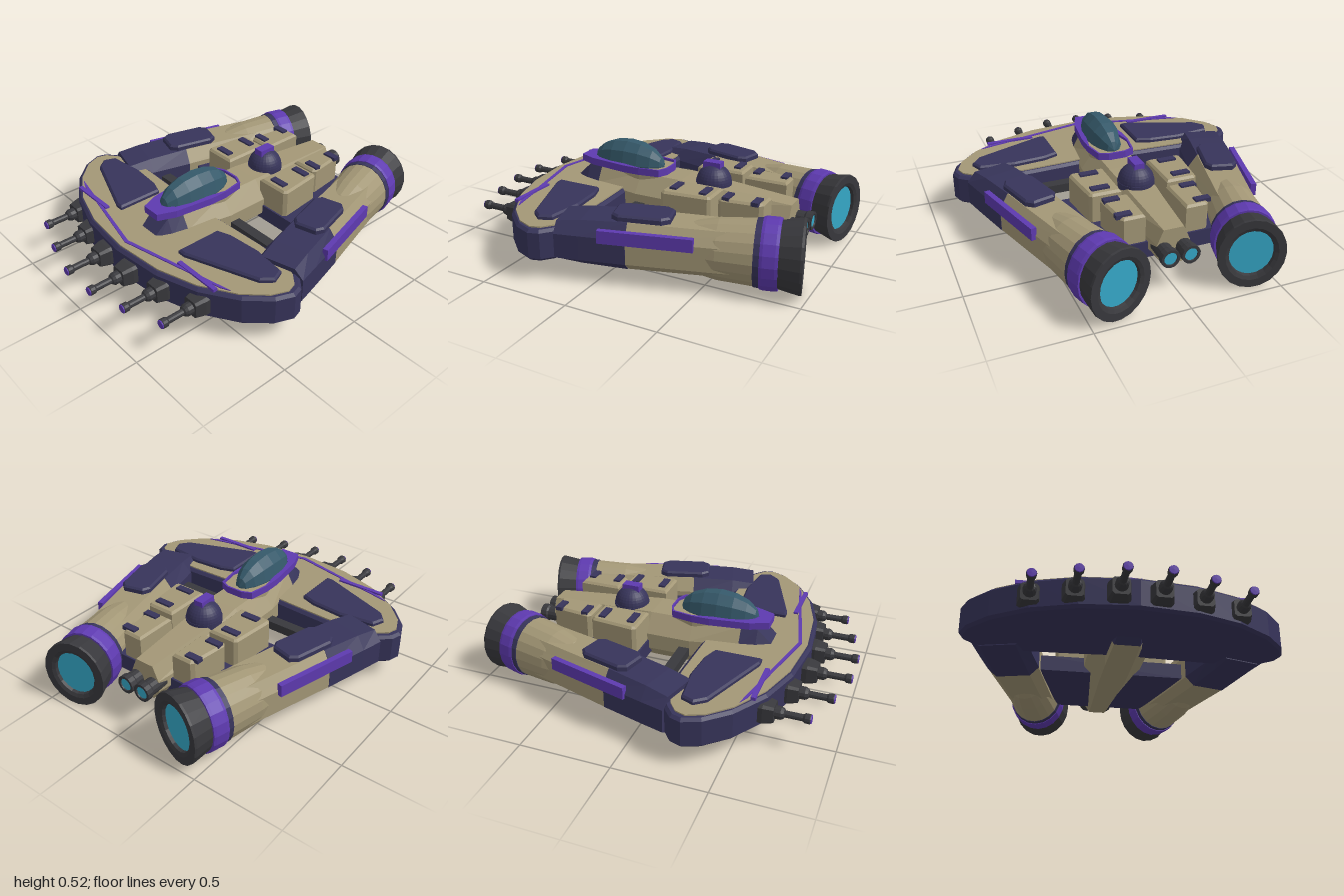
import * as THREE from 'three';

const mat = (name, color) => {
  const m = new THREE.MeshStandardMaterial({ color, flatShading: true });
  m.name = name;
  return m;
};

// Octagonal cross-section, counter-clockwise seen from +z
const oct = (w, lo, hi, topW, top, botW, bot) => [
  [w, lo], [w, hi], [topW, top], [-topW, top], [-w, hi], [-w, lo], [-botW, bot], [botW, bot]];

// Skin through cross-sections [z, ring], z increasing, with end caps
function loft(sections) {
  const n = sections[0][1].length, pos = [], idx = [];
  for (const [z, ring] of sections) for (const [x, y] of ring) pos.push(x, y, z);
  for (let i = 0; i < sections.length - 1; i++) {
    for (let j = 0; j < n; j++) {
      const a = i * n + j, b = i * n + (j + 1) % n;
      idx.push(a, b, a + n, b, b + n, a + n);
    }
  }
  const last = (sections.length - 1) * n;
  for (let j = 1; j < n - 1; j++) idx.push(0, j + 1, j, last, last + j, last + j + 1);
  const g = new THREE.BufferGeometry();
  g.setAttribute('position', new THREE.Float32BufferAttribute(pos, 3));
  g.setIndex(idx);
  const flat = g.toNonIndexed();
  flat.computeVertexNormals();
  return flat;
}

// Closed outline from its +x half
const mirror = (half) => [
  ...half, ...half.filter(([x]) => x > 0).reverse().map(([x, z]) => [-x, z])];

// Horizontal plate with outline points [x, z], between y0 and y1
function slab(pts, y0, y1, bevel = 0, hole = null) {
  const v = (list) => list.map(([x, z]) => new THREE.Vector2(x, -z));
  const shape = new THREE.Shape(v(pts));
  if (hole) shape.holes.push(new THREE.Path(v(hole)));
  const g = new THREE.ExtrudeGeometry(shape, {
    depth: y1 - y0 - 2 * bevel, bevelEnabled: bevel > 0, bevelSize: bevel,
    bevelThickness: bevel, bevelOffset: -bevel, bevelSegments: 1 });
  return g.rotateX(-Math.PI / 2).translate(0, y0 + bevel, 0);
}

// Turned part around z, profile points [radius, z] from rear to front
const turned = (profile, sides) => new THREE.LatheGeometry(
  profile.map(([r, z]) => new THREE.Vector2(r, z)), sides).rotateX(Math.PI / 2);

const box = (w, h, d) => new THREE.BoxGeometry(w, h, d);

export function createModel() {
  const tan = mat('tan hull', 0xa39776), navy = mat('navy armour', 0x37345a);
  const purple = mat('purple trim', 0x5e3ab0), glass = mat('teal glass', 0x35596a);
  const metal = mat('dark metal', 0x38383c), glow = mat('cyan glow', 0x35a8c8);
  const root = new THREE.Group();
  root.name = 'spacecraft';
  const add = (parent, name, geo, material, x = 0, y = 0, z = 0) => {
    const m = new THREE.Mesh(geo, material);
    m.name = name;
    m.position.set(x, y, z);
    parent.add(m);
    return m;
  };

  // Crescent front wing with its inset deck
  const wing = mirror([[0, .75], [.3, .72], [.53, .645], [.72, .525], [.83, .405], [.868, .31],
    [.85, .25], [.79, .2], [.7, .165], [.5, .155], [.25, .165], [0, .18]]);
  add(root, 'wing', slab(wing, .11, .28, .015), navy);
  add(root, 'wingDeck', slab(wing.map(([x, z]) => [x * .96, (z - .45) * .92 + .45]), .27, .287), tan);
  add(root, 'wingTrim', slab([[-.65, .535], [-.32, .605], [0, .675], [.32, .605], [.65, .535],
    [.6, .56], [.32, .622], [0, .695], [-.32, .622], [-.6, .56]], .284, .292), purple);

  // Fuselage spine and nose
  const waist = oct(.125, .2, .28, .075, .37, .07, .09);
  add(root, 'fuselage', loft([
    [-.78, oct(.09, .19, .25, .055, .33, .05, .13)],
    [-.15, oct(.165, .18, .27, .09, .37, .075, .09)],
    [.1, oct(.165, .18, .27, .09, .37, .075, .09)],
    [.37, waist]]), tan);
  add(root, 'nose', loft([[.37, waist], [.46, oct(.11, .2, .27, .065, .36, .06, .12)],
    [.54, oct(.085, .2, .25, .06, .285, .05, .13)]]), navy);

  // Cockpit
  const collar = mirror([[.055, .52], [.095, .42], [.125, .2], [.125, .1], [.105, -.02], [.05, -.045]]);
  const sill = mirror([[0, .45], [.06, .4], [.095, .2], [.115, .1], [.096, -.012], [.046, -.035]]);
  add(root, 'cockpitCollar', slab(collar, .37, .41, 0, sill), purple);
  add(root, 'cockpitSill', slab(sill, .34, .395), tan);
  add(root, 'canopy', new THREE.SphereGeometry(1, 10, 8).rotateX(Math.PI / 2)
    .scale(.095, .13, .225), glass, 0, .4, .225);

  // Sensor dome
  add(root, 'sensorDome', new THREE.SphereGeometry(.098, 28, 10, 0, Math.PI * 2, 0, Math.PI / 2),
    navy, 0, .365, -.31);
  add(root, 'sensorRim', new THREE.CylinderGeometry(.1, .1, .04, 28), navy, 0, .35, -.31);
  add(root, 'sensorBlock', box(.055, .05, .1), purple, 0, .455, -.305);

  // Rear deck and cross bar between the pods
  add(root, 'rearDeck', slab([[-.27, -.7], [.27, -.7], [.42, -.14], [-.42, -.14]], .14, .23), navy);
  add(root, 'crossBar', box(.94, .05, .06), metal, 0, .2, .07);

  for (const s of [1, -1]) {
    const flip = (pts) => pts.map(([x, z]) => [s * x, z]);

    // Raised wing panels and trim bars
    add(root, 'wingPanel', slab(flip([[.255, .54], [.255, .28], [.34, .25], [.52, .235], [.72, .26],
      [.748, .33], [.7, .39], [.3, .54]]), .27, .312, .01), navy);
    add(root, 'wingTrimBar', box(.28, .018, .025), purple, s * .46, .288, .587);

    // Machinery blocks with vents
    add(root, 'frontBlock', slab(flip([[.13, -.15], [.315, -.15], [.33, -.17], [.305, -.41],
      [.29, -.425], [.13, -.425]]), .2, .39, .012), tan);
    add(root, 'rearBlock', slab(flip([[.11, -.45], [.25, -.45], [.265, -.47], [.24, -.67],
      [.225, -.69], [.11, -.69]]), .2, .38, .012), tan);
    for (const [z, y] of [[-.2, .39], [-.37, .39], [-.49, .38], [-.65, .38]])
      add(root, 'vent', box(z < -.4 ? .085 : .1, .022, .038), navy, s * (z < -.4 ? .215 : .23), y, z);

    // Small tail thrusters
    add(root, 'tailThruster', turned([[.032, .012], [.036, 0], [.05, 0], [.05, .035], [.043, .045],
      [.043, .15]], 14), metal, s * .055, .22, -.87);
    add(root, 'tailGlow', new THREE.CircleGeometry(.036, 14).rotateY(Math.PI), glow, s * .055, .22, -.864);

    // Splayed engine pod, local z runs from the exhaust forward
    const pod = new THREE.Group();
    pod.name = s > 0 ? 'leftPod' : 'rightPod';
    pod.position.set(s * .345, .2, -.954);
    pod.rotation.y = s * .265;
    root.add(pod);
    const ring = (w, t, b) => oct(w, -.07, .06, w * .66, t, w * .66, b);
    add(pod, 'podBody', loft([[.22, ring(.13, .13, -.11)], [.86, ring(.145, .135, -.115)]]), tan);
    add(pod, 'podFront', loft([[.86, ring(.147, .137, -.117)], [1.1, ring(.147, .128, -.108)],
      [1.23, ring(.145, .112, -.095)]]), navy);
    const round = (name, profile, m) => {
      add(pod, name, turned(profile, 20), m).scale.x = .9;
    };
    round('engine', [[.175, .2], [.168, .3], [.16, .42], [.135, .54], [.09, .6], [0, .62]], tan);
    round('engineBand', [[.15, .19], [.18, .19], [.176, .235], [.15, .235]], navy);
    round('engineRing', [[.15, .115], [.184, .115], [.187, .13], [.187, .19], [.183, .205], [.15, .205]], purple);
    round('nozzle', [[.12, .05], [.13, .008], [.15, 0], [.193, 0], [.195, .012], [.172, .12], [.14, .12]], metal);
    add(pod, 'engineGlow', new THREE.CircleGeometry(.13, 20).rotateY(Math.PI), glow, 0, 0, .025).scale.x = .9;

    // Pod roof hatch and side stripe
    add(pod, 'podHatch', slab([[-.09, -.11], [-.06, -.15], [.06, -.15], [.09, -.11], [.09, .11],
      [.06, .15], [-.06, .15], [-.09, .11]], .12, .167, .01), navy, 0, 0, .8);
    add(pod, 'podStripe', box(.03, .068, .48), purple, s * .146, .072, .76);
  }

  // Row of six forward cannons
  const mount = (w, h) => oct(w, -h * .75, h * .75, w * .75, h, w * .75, -h);
  for (const [x, tip] of [[.105, .995], [.32, .943], [.53, .867]]) {
    for (const s of [1, -1]) {
      const gun = new THREE.Group();
      gun.name = 'cannon';
      gun.position.set(s * x, .19, tip);
      root.add(gun);
      add(gun, 'cannonMount', loft([[-.32, mount(.058, .056)], [-.235, mount(.057, .056)],
        [-.18, mount(.044, .046)]]), metal);
      add(gun, 'cannonBarrel', turned([[.034, -.19], [.034, -.15], [.026, -.135], [.018, -.13],
        [.018, -.04], [.025, -.03], [.026, -.006], [.022, 0], [0, 0]], 12), metal);
      add(gun, 'cannonTip', turned([[.024, -.002], [.022, .003], [0, .004]], 12), purple);
    }
  }
  return root;
}
